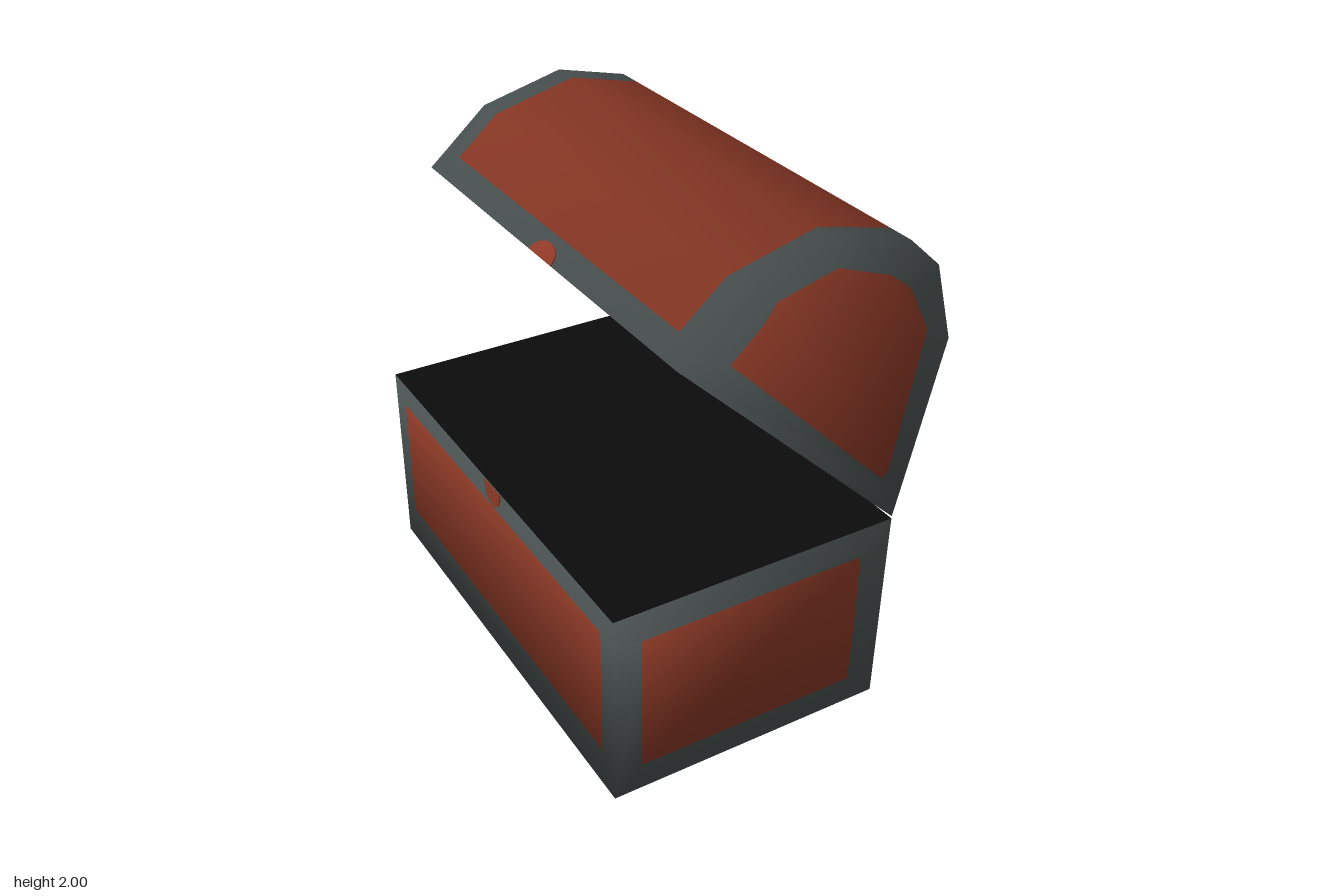
import * as THREE from 'three';

const material = (name, color, side = THREE.FrontSide) => {
  const m = new THREE.MeshStandardMaterial({ color, side });
  m.name = name;
  return m;
};

const END = 0.945; // half length along z

export function createModel() {
  const wood = material('red wood', 0x8c3926);
  const iron = material('grey iron', 0x4c5453);
  const dark = material('dark inside', 0x0c0c0c);

  // Rounded shading: normals fan out from the middle of each half
  const soften = (geo, [cx, cy, hx, hy]) => {
    const p = geo.attributes.position;
    const n = [];
    const v = new THREE.Vector3();
    for (let i = 0; i < p.count; i++) {
      v.set((p.getX(i) - cx) / hx, (p.getY(i) - cy) / hy, p.getZ(i) / END).normalize();
      n.push(v.x, v.y, v.z);
    }
    geo.setAttribute('normal', new THREE.Float32BufferAttribute(n, 3));
    return geo;
  };

  // Quads given as [start, end, z0, z1], outlines running clockwise
  const quads = (list) => {
    const pos = [];
    const index = [];
    list.forEach(([a, b, z0, z1], i) => {
      pos.push(a[0], a[1], z0, a[0], a[1], z1, b[0], b[1], z1, b[0], b[1], z0);
      index.push(...[0, 1, 2, 0, 2, 3].map((k) => k + i * 4));
    });
    const geo = new THREE.BufferGeometry();
    geo.setAttribute('position', new THREE.Float32BufferAttribute(pos, 3));
    geo.setIndex(index);
    geo.computeVertexNormals();
    return geo;
  };

  const shapeOf = (pts) => new THREE.Shape(pts.map(([x, y]) => new THREE.Vector2(x, y)));

  // One half of the chest: wrapped sides, two ends and a dark closing face.
  // A third value of 1 in the outline starts a wooden panel segment.
  function half(name, outline, endPanel, panelZ, round) {
    const group = new THREE.Group();
    group.name = name;
    const add = (part, geo, mat) => {
      const mesh = new THREE.Mesh(geo, mat);
      mesh.name = part;
      group.add(mesh);
    };
    const ironList = [];
    const woodList = [];
    for (let i = 0; i < outline.length - 1; i++) {
      const a = outline[i];
      const b = outline[i + 1];
      ironList.push([a, b, -END, -panelZ], [a, b, panelZ, END]);
      (a[2] ? woodList : ironList).push([a, b, -panelZ, panelZ]);
    }
    add('sideFrame', soften(quads(ironList), round), iron);
    add('sidePanels', soften(quads(woodList), round), wood);
    add('insideFace', quads([[outline[outline.length - 1], outline[0], -END, END]]), dark);

    // Ends: iron rim around a wooden panel
    const rim = shapeOf(outline);
    rim.holes.push(shapeOf(endPanel));
    for (const side of [1, -1]) {
      for (const [part, shape, mat] of [['endFrame', rim, iron], ['endPanel', shapeOf(endPanel), wood]]) {
        const geo = new THREE.ShapeGeometry(shape);
        geo.translate(0, 0, side * END);
        if (side < 0) geo.setIndex([...geo.index.array].reverse());
        add(part, soften(geo, round), mat);
      }
    }
    return group;
  }

  const base = half('base', [
    [0.49, 0.81], [0.487, 0.71, 1], [0.473, 0.13], [0.47, 0],
    [-0.67, 0], [-0.67, 0.16, 1], [-0.67, 0.7], [-0.67, 0.805],
  ], [[-0.56, 0.11], [0.35, 0.11], [0.36, 0.4], [0.36, 0.685], [-0.56, 0.68]],
  0.855, [-0.1, 0.4, 0.57, 0.4]);

  const lid = half('lid', [
    [-0.435, 1.695], [-0.36, 1.76, 1], [-0.19, 1.91, 1], [0.15, 2, 1], [0.45, 1.93],
    [0.58, 1.81, 1], [0.662, 1.51, 1], [0.518, 0.93], [0.49, 0.82],
  ], [
    [-0.24, 1.66], [-0.12, 1.77], [-0.07, 1.84], [0.16, 1.9], [0.38, 1.82],
    [0.47, 1.75], [0.56, 1.57], [0.45, 1.03], [0.42, 1.01],
  ], 0.833, [0.1, 1.35, 0.62, 0.62]);

  // Lock tabs: thin half discs on the opening edges
  const lock = (name, start, angle, x, y, r, stretch) => {
    const geo = new THREE.CylinderGeometry(r, r, 0.008, 16, 1, false, start, Math.PI);
    geo.scale(stretch, 1, 1);
    const mesh = new THREE.Mesh(geo, wood);
    mesh.name = name;
    mesh.position.set(x, y, 0.015);
    mesh.rotation.z = angle;
    return mesh;
  };
  lid.add(lock('lidLock', 0, Math.atan2(0.215, 0.245), -0.435, 1.695, 0.085, 0.75));
  base.add(lock('baseLock', Math.PI, Math.PI / 2, -0.67, 0.803, 0.07, 1.3));

  const chest = new THREE.Group();
  chest.name = 'chest';
  chest.add(base, lid);
  return chest;
}
